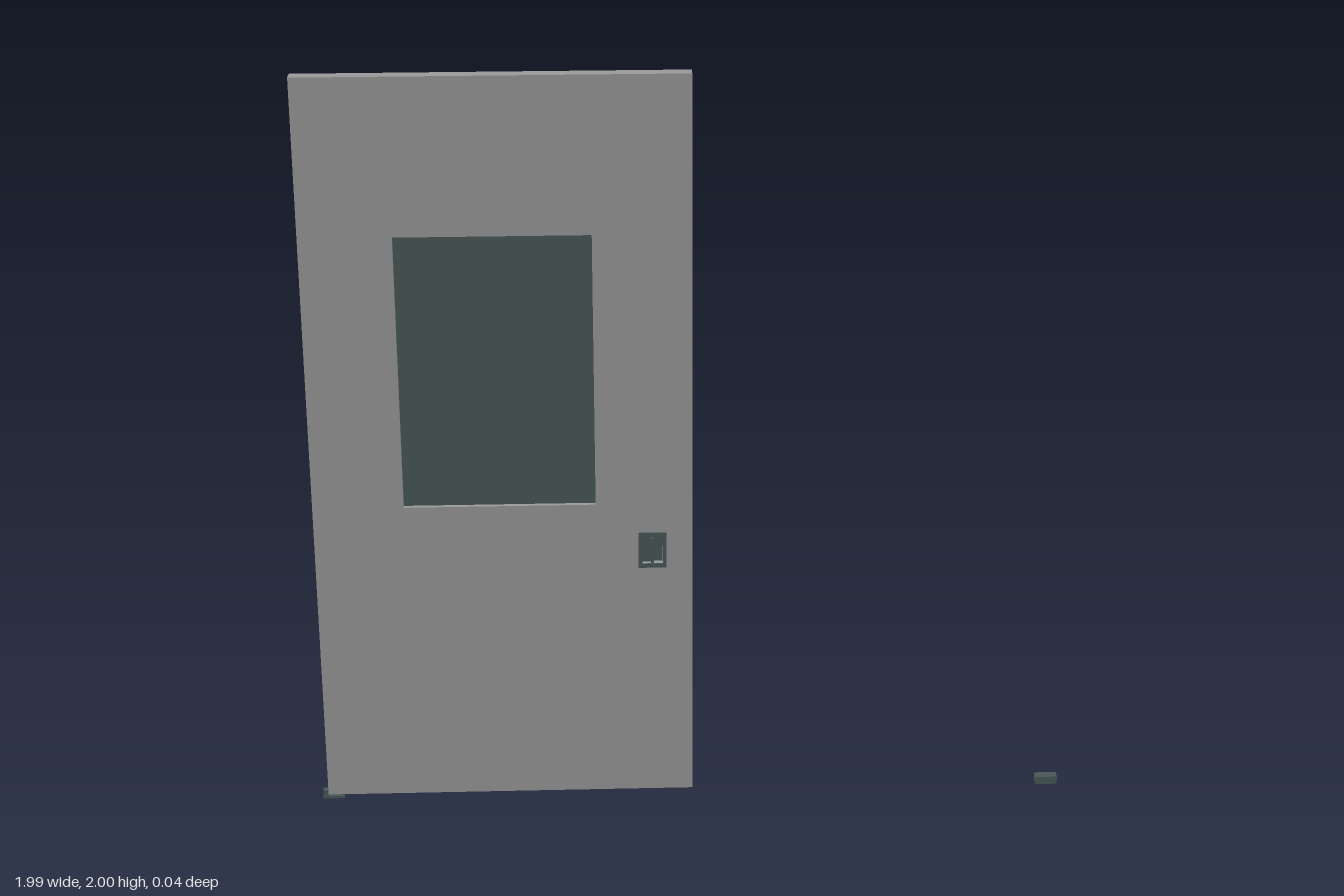
import * as THREE from 'three';

const gray = new THREE.MeshStandardMaterial({ color: 0x999999 });
gray.name = 'door gray';
const slate = new THREE.MeshStandardMaterial({ color: 0x485757 });
slate.name = 'slate';

const HALF = 0.018; // half the leaf thickness

function rect(PathType, x0, x1, y0, y1) {
  const p = new PathType();
  p.moveTo(x0, y0);
  p.lineTo(x1, y0);
  p.lineTo(x1, y1);
  p.lineTo(x0, y1);
  p.closePath();
  return p;
}

// Rectangular panel with rectangular openings, between two z planes
function panel(name, outer, holes, z0, z1, material) {
  const shape = rect(THREE.Shape, ...outer);
  holes.forEach((h) => shape.holes.push(rect(THREE.Path, ...h)));
  const geo = new THREE.ExtrudeGeometry(shape, { depth: z1 - z0, bevelEnabled: false });
  geo.translate(0, 0, z0);
  const mesh = new THREE.Mesh(geo, material);
  mesh.name = name;
  return mesh;
}

function box(name, x0, x1, y0, y1, z0, z1, material) {
  const mesh = new THREE.Mesh(new THREE.BoxGeometry(x1 - x0, y1 - y0, z1 - z0), material);
  mesh.position.set((x0 + x1) / 2, (y0 + y1) / 2, (z0 + z1) / 2);
  mesh.name = name;
  return mesh;
}

export function createModel() {
  const model = new THREE.Group();
  model.name = 'slidingDoor';

  const pane = [-0.745, -0.25, 0.857, 1.59];
  const pull = [-0.13, -0.077, 0.687, 0.763];

  // Leaf with openings, and two lips forming the guide groove below
  const leaf = new THREE.Group();
  leaf.name = 'doorLeaf';
  leaf.add(panel('leafPanel', [-0.98, 0, 0.03, 2], [pane, pull], -HALF, HALF, gray));
  leaf.add(box('frontGrooveLip', -0.98, 0, 0.015, 0.03, 0.009, HALF, gray));
  leaf.add(box('backGrooveLip', -0.98, 0, 0.015, 0.03, -HALF, -0.009, gray));
  model.add(leaf);

  // Recessed window
  model.add(box('windowPane', ...pane, -0.006, 0.006, slate));

  // Flush pull: surround plates, cup floor and grip
  const handle = new THREE.Group();
  handle.name = 'flushPull';
  const surround = [-0.14, -0.067, 0.675, 0.775];
  handle.add(panel('frontSurround', surround, [pull], HALF, HALF + 0.002, slate));
  handle.add(panel('backSurround', surround, [pull], -HALF - 0.002, -HALF, slate));
  handle.add(box('cupFloor', -0.13, -0.103, 0.687, 0.763, -0.012, 0.008, slate));
  const floor = new THREE.Mesh(new THREE.PlaneGeometry(0.026, 0.076), slate);
  floor.position.set(-0.09, 0.725, 0.002);
  floor.name = 'frontCupFloor';
  handle.add(floor);
  handle.add(box('grip', -0.108, -0.1, 0.69, 0.76, -0.022, 0.022, slate));
  model.add(handle);

  // Floor guides at both ends of the travel
  const guide = (name, x0, x1) => {
    const g = new THREE.Group();
    g.name = name;
    g.add(box('guideFoot', x0, x1, 0, 0.007, -0.013, 0.013, slate));
    g.add(box('guideFin', x0, x1, 0.007, 0.022, -0.008, 0.008, slate));
    return g;
  };
  model.add(guide('rightFloorGuide', -0.995, -0.937));
  const far = guide('leftFloorGuide', 0.935, 0.993);
  far.children[1].scale.z = 1.6;
  model.add(far);

  return model;
}
